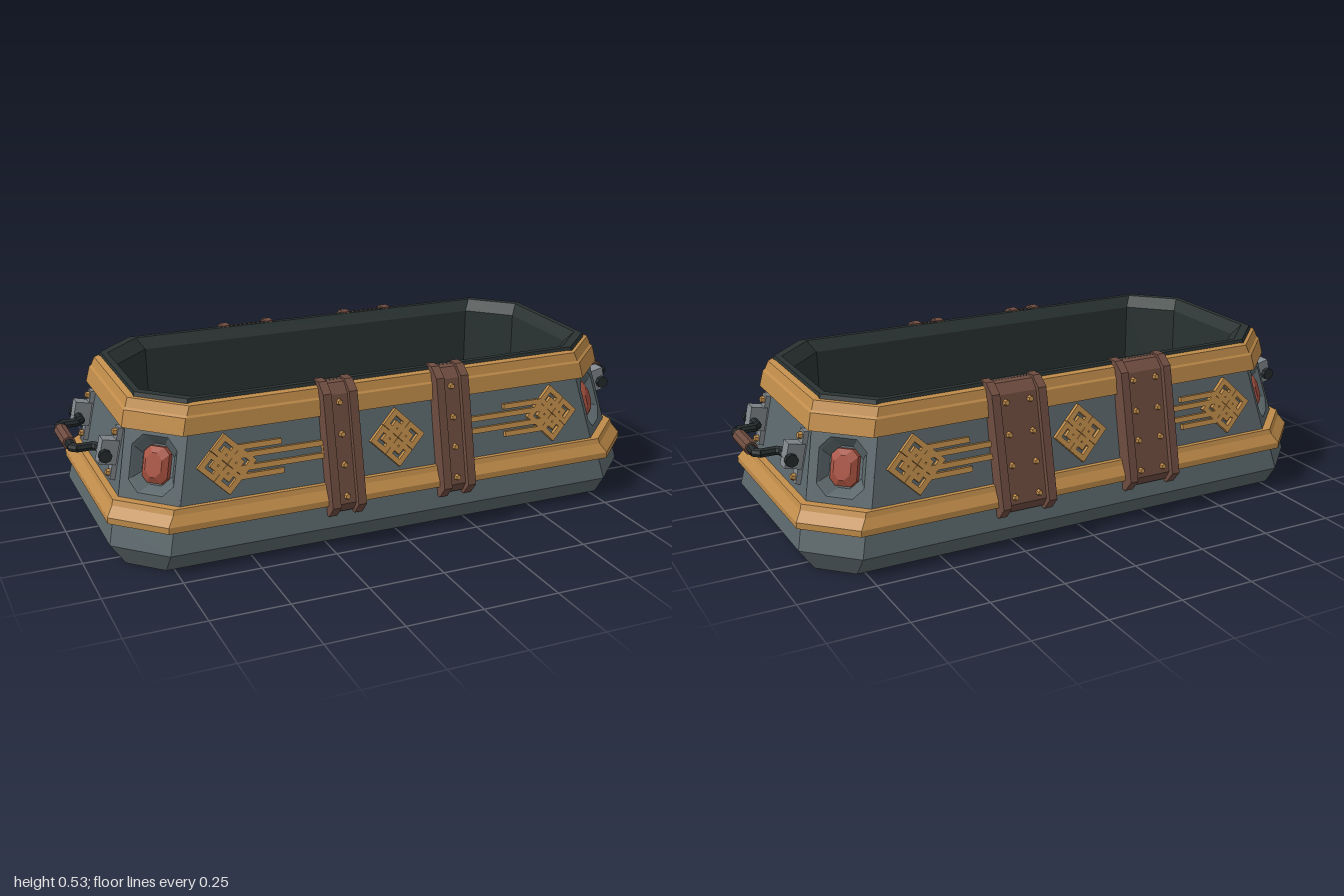
import * as THREE from 'three';
import { mergeGeometries } from 'three/addons/utils/BufferGeometryUtils.js';

const mat = (name, color) => {
  const m = new THREE.MeshStandardMaterial({ color });
  m.name = name;
  return m;
};

export function createModel() {
  const stone = mat('stone', 0x5b676b), gold = mat('gold', 0xc08c4a), dark = mat('dark lining', 0x2a3332);
  const leather = mat('leather', 0x6e4c40), red = mat('red gem', 0xa5503f);
  const metal = mat('metal', 0x82888d), iron = mat('dark iron', 0x262c2e);
  const root = new THREE.Group();
  root.name = 'chest';

  const add = (parent, name, geo, material) => {
    const flat = geo.index ? geo.toNonIndexed() : geo;
    flat.computeVertexNormals();
    const mesh = new THREE.Mesh(flat, material);
    mesh.name = name;
    parent.add(mesh);
  };
  const group = (parent, name, x, y, z, turn = 0, tilt = 0) => {
    const g = new THREE.Group();
    g.name = name;
    g.position.set(x, y, z);
    g.rotation.set(tilt, turn, 0, 'YXZ');
    parent.add(g);
    return g;
  };
  const box = (w, h, d, x = 0, y = 0, z = 0) => new THREE.BoxGeometry(w, h, d).translate(x, y, z);
  const octagon = (a, b, c) => [[a, b - c], [a - c, b], [c - a, b], [-a, b - c],
    [-a, c - b], [c - a, -b], [a - c, -b], [a, c - b]];
  const toVectors = (points) => points.map((q) => new THREE.Vector2(...q));

  // Loft through octagons given as [y, half x, half z, corner cut]; step 2 leaves the cut corners open
  function loft(sections, cut, { capFirst, capLast, start = 0, step = 1 } = {}) {
    const rings = sections.map(([y, a, b, c = cut]) => octagon(a, b, c).map(([x, z]) => [x, y, z]));
    const p = [];
    const tri = (...v) => v.forEach((q) => p.push(...q));
    for (let s = 0; s < rings.length - 1; s++) {
      for (let i = start; i < 8; i += step) {
        const j = (i + 1) % 8, lo = rings[s], hi = rings[s + 1];
        tri(lo[i], hi[i], hi[j]);
        tri(lo[i], hi[j], lo[j]);
      }
    }
    const first = rings[0], last = rings[rings.length - 1];
    for (let i = 1; i < 7; i++) {
      if (capFirst) tri(first[0], first[i], first[i + 1]);
      if (capLast) tri(last[0], last[i + 1], last[i]);
    }
    const g = new THREE.BufferGeometry();
    g.setAttribute('position', new THREE.Float32BufferAttribute(p, 3));
    return g;
  }

  // Stacked shell
  add(root, 'base', loft([[0, 0.875, 0.4, 0.1], [0.068, 0.922, 0.45], [0.145, 0.905, 0.435]], 0.15,
    { capFirst: true }), stone);
  add(root, 'lowerTrim', loft([[0.14, 0.88, 0.41], [0.145, 0.925, 0.455], [0.165, 0.925, 0.455],
    [0.195, 0.905, 0.438], [0.212, 0.9, 0.433], [0.214, 0.87, 0.4]], 0.15), gold);
  add(root, 'wall', loft([[0.2, 0.882, 0.422], [0.44, 0.828, 0.372]], 0.15, { start: 1, step: 2 }), stone);
  add(root, 'upperTrim', loft([[0.425, 0.82, 0.36], [0.425, 0.85, 0.391], [0.478, 0.838, 0.384],
    [0.484, 0.832, 0.379], [0.512, 0.822, 0.372], [0.518, 0.8, 0.35]], 0.15), gold);
  add(root, 'rimAndLining', loft([[0.505, 0.806, 0.358], [0.527, 0.8, 0.352], [0.527, 0.78, 0.333],
    [0.49, 0.755, 0.308], [0.08, 0.75, 0.303]], 0.13, { capLast: true }), dark);

  // Straps over the long sides
  const rail = [[0.43, 0.11], [0.457, 0.11], [0.49, 0.15], [0.413, 0.502], [0.375, 0.532], [0.335, 0.532], [0.335, 0.5], [0.37, 0.47]];
  const panel = [[0.43, 0.12], [0.45, 0.12], [0.47, 0.152], [0.398, 0.493], [0.37, 0.523], [0.345, 0.528], [0.345, 0.5], [0.37, 0.47]];
  const slab = (profile, width, x) => new THREE.ExtrudeGeometry(
    new THREE.Shape(toVectors(profile)), { depth: width, bevelEnabled: false })
    .rotateY(-Math.PI / 2).translate(x + width / 2, 0, 0);

  function strap(side, x, width, columns) {
    const g = group(side, 'strap', x, 0, 0);
    add(g, 'strapPanel', slab(panel, width - 0.02, 0), leather);
    for (const s of [-1, 1]) add(g, 'strapRail', slab(rail, 0.028, s * (width / 2 - 0.014)), leather);
    for (const cx of columns) {
      for (const t of [0.07, 0.36, 0.64, 0.93]) {
        const r = new THREE.CylinderGeometry(0.008, 0.012, 0.016, 6).rotateX(Math.PI / 2 - 0.2);
        add(g, 'rivet', r.translate(cx, 0.152 + 0.341 * t, 0.474 - 0.072 * t), gold);
      }
    }
  }

  // Interlaced ornaments made of thin raised bars: four corner loops tied by a central one
  const bar = (x1, y1, x2, y2) => box(Math.hypot(x2 - x1, y2 - y1) + 0.017, 0.017, 0.03)
    .rotateZ(Math.atan2(y2 - y1, x2 - x1)).translate((x1 + x2) / 2, (y1 + y2) / 2, 0);
  const diamond = (x, y, r) => [0, 1, 2, 3].map((i) => {
    const a = i * Math.PI / 2, b = a + Math.PI / 2;
    return bar(x + r * Math.cos(a), y + r * Math.sin(a), x + r * Math.cos(b), y + r * Math.sin(b));
  });
  const knot = (x, o = 0.048) => [[o, 0], [-o, 0], [0, o], [0, -o]]
    .flatMap(([dx, dy]) => diamond(x + dx, dy, 0.035)).concat(diamond(x, 0, 0.044));

  for (const front of [true, false]) {
    const side = group(root, front ? 'frontSide' : 'backSide', 0, 0, 0, front ? 0 : Math.PI);
    if (front) {
      strap(side, -0.2, 0.115, [0]);
      strap(side, 0.19, 0.115, [0]);
    } else {
      strap(side, 0.24, 0.19, [-0.042, 0.042]);
      strap(side, -0.225, 0.19, [-0.042, 0.042]);
    }
    const face = group(side, 'ornaments', 0, 0.32, 0.397, 0, -0.205);
    add(face, 'centreKnot', mergeGeometries(knot(0)), gold);
    for (const s of [-1, 1]) {
      const parts = [...knot(s * 0.572), bar(s * 0.25, -0.02, s * 0.25, 0.02)];
      for (const v of [-1, 1]) {
        parts.push(bar(s * 0.25, v * 0.02, s * 0.53, v * 0.02));
        parts.push(bar(s * 0.4, v * 0.046, s * 0.53, v * 0.046));
      }
      add(face, 'sideKnot', mergeGeometries(parts), gold);
    }
  }

  // Cut corners: a wall panel with a recessed gem
  for (const sx of [-1, 1]) {
    for (const sz of [-1, 1]) {
      const g = group(root, 'cornerGem', sx * 0.78, 0.32, sz * 0.322, Math.atan2(sx, sz), -0.297);
      const plate = new THREE.Shape(toVectors([[-0.108, -0.126], [0.108, -0.126], [0.108, 0.126], [-0.108, 0.126]]));
      plate.holes.push(new THREE.Path(toVectors(octagon(0.078, 0.09, 0.035))));
      add(g, 'cornerPanel', new THREE.ShapeGeometry(plate), stone);
      add(g, 'bezel', loft([[0, 0.078, 0.09], [-0.008, 0.072, 0.083], [-0.034, 0.054, 0.064]], 0.035,
        { capLast: true }).rotateX(Math.PI / 2), stone);
      add(g, 'gem', loft([[-0.035, 0.045, 0.058], [-0.018, 0.044, 0.057], [-0.004, 0.028, 0.038]],
        0.02, { capLast: true }).rotateX(Math.PI / 2), red);
    }
  }

  // Carrying handles on both ends
  const rod = (a, b, r) => {
    const p = new THREE.Vector3(...a), q = new THREE.Vector3(...b), d = q.clone().sub(p);
    const turn = new THREE.Quaternion().setFromUnitVectors(new THREE.Vector3(0, 1, 0), d.clone().normalize());
    return new THREE.CylinderGeometry(r, r, d.length() + r * 0.5, 8)
      .applyQuaternion(turn).translate(...p.add(q).multiplyScalar(0.5).toArray());
  };
  for (const sx of [-1, 1]) {
    const end = group(root, 'endHandle', sx * 0.855, 0.325, 0, sx * Math.PI / 2);
    for (const s of [-1, 1]) {
      const b = group(end, 'bracket', s * 0.187, 0, 0, 0, -0.22);
      add(b, 'bracketPlate', box(0.036, 0.17, 0.018, 0, 0, 0.006), metal);
      add(b, 'bracketBlock', box(0.046, 0.08, 0.055, 0, 0.005, 0.032), metal);
      for (const v of [-1, 1]) {
        add(b, 'bolt', new THREE.CylinderGeometry(0.01, 0.013, 0.014, 6)
          .rotateX(Math.PI / 2).translate(0, v * 0.067, 0.02), gold);
      }
      const path = [[0.215, 0.045], [0.13, 0.045], [0.115, 0.06], [0.115, 0.108], [0.1, 0.123], [0, 0.123]]
        .map(([u, w]) => [s * u, 0.005, w]);
      const rods = path.slice(1).map((q, i) => rod(path[i], q, 0.015));
      rods.push(rod([s * 0.212, 0.005, 0.045], [s * 0.22, 0.005, 0.045], 0.021));
      add(end, 'handleBar', mergeGeometries(rods), iron);
    }
    add(end, 'handleGrip', rod([-0.06, 0.005, 0.123], [0.06, 0.005, 0.123], 0.022), leather);
  }
  return root;
}
